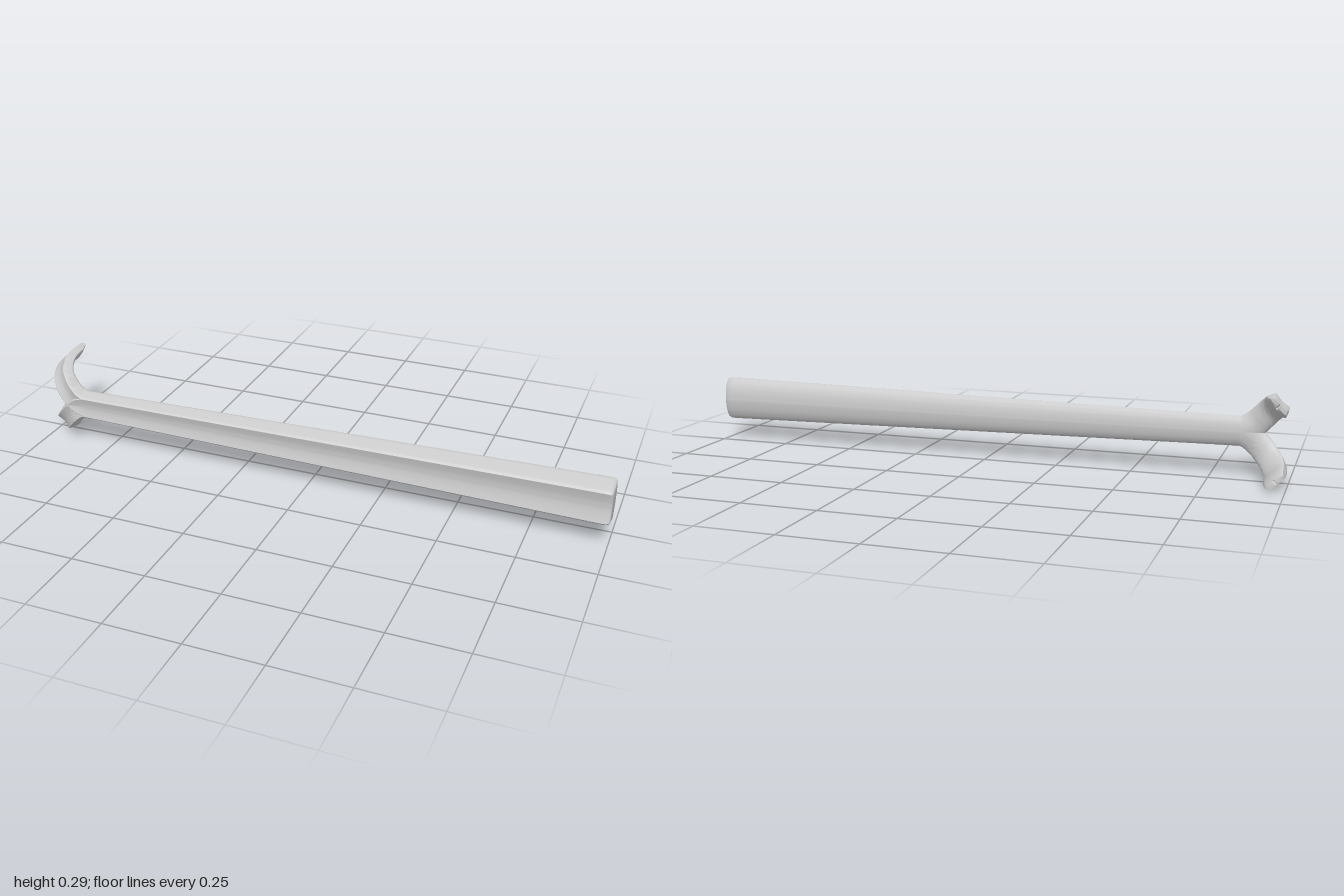
import * as THREE from 'three';
import { toCreasedNormals } from 'three/addons/utils/BufferGeometryUtils.js';

const MID_Y = 0.15;

// Half cross-section as [width, depth]: hollow front face, wide bulging back
const FRONT = [[0, .40], [.12, .405], [.35, .43], [.6, .48], [.7, .5], [.77, .46], [.8, .38]];
const BACK = [[0, -.5], [.12, -.495], [.5, -.45], [.8, -.37], [.94, -.29], [1, -.2], [.98, -.1]];
const mirrorHalf = (half) => [...half.slice(1).reverse().map(([w, d]) => [-w, d]), ...half];
const front = mirrorHalf(FRONT), back = mirrorHalf(BACK);
const N = front.length;
const ring = [...front, ...back.slice().reverse()];

// Sweep the section along stations [x, y, z, spread angle, bend angle, half width, thickness].
// side mirrors the sweep up/down; notch cuts a V into the far end.
function sweep(stations, side = 1, notch = 0) {
  const pos = [], index = [], M = ring.length;
  stations.forEach(([x, y, z, a, b, w, t], j) => {
    const out = new THREE.Vector3(-Math.cos(a), side * Math.sin(a), 0);
    const W = new THREE.Vector3(side * Math.sin(a), Math.cos(a), 0);
    const zAxis = new THREE.Vector3(0, 0, 1);
    const T = zAxis.clone().multiplyScalar(Math.cos(b)).addScaledVector(out, Math.sin(b));
    const dir = out.clone().multiplyScalar(Math.cos(b)).addScaledVector(zAxis, -Math.sin(b));
    const last = j === stations.length - 1;
    ring.forEach(([s, d]) => {
      const p = new THREE.Vector3(x, MID_Y + side * (y - MID_Y), z)
        .addScaledVector(W, s * w).addScaledVector(T, d * t);
      if (last && Math.abs(s) < .01) p.addScaledVector(dir, -notch);
      pos.push(p.x, p.y, p.z);
    });
  });
  for (let j = 0; j < stations.length - 1; j++) {
    for (let i = 0; i < M; i++) {
      const a = j * M + i, b = j * M + (i + 1) % M;
      index.push(a, b, a + M, b, b + M, a + M);
    }
  }
  // End caps as strips between the front and back faces
  const end = (stations.length - 1) * M;
  for (let i = 0; i < N - 1; i++) {
    const f = i, g = i + 1, bf = M - 1 - i, bg = M - 2 - i;
    index.push(f, bf, g, g, bf, bg);
    index.push(end + f, end + g, end + bf, end + g, end + bg, end + bf);
  }
  const geo = new THREE.BufferGeometry();
  geo.setAttribute('position', new THREE.Float32BufferAttribute(pos, 3));
  geo.setIndex(index);
  return toCreasedNormals(geo, 0.75);
}

// Smooth all seven station values along a shared parameter
function smooth(stations, steps) {
  const curve = (k) => new THREE.CatmullRomCurve3(
    stations.map((s) => new THREE.Vector3(s[k], s[k + 1] ?? 0, s[k + 2] ?? 0)), false, 'catmullrom', 0.5);
  const curves = [0, 3, 6].map(curve);
  return Array.from({ length: steps + 1 }, (_, i) =>
    curves.flatMap((c) => c.getPoint(i / steps).toArray()).slice(0, 7));
}

export function createModel() {
  const group = new THREE.Group();
  const material = new THREE.MeshStandardMaterial({ color: 0xcccccc, roughness: 0.6 });
  const add = (name, geo) => {
    const mesh = new THREE.Mesh(geo, material);
    mesh.name = name;
    group.add(mesh);
  };

  // Tapered handle with a softly rounded butt
  add('handle', sweep([
    [1, MID_Y, .065, 0, 0, .066, .086],
    [.997, MID_Y, .065, 0, 0, .071, .094],
    [.99, MID_Y, .065, 0, 0, .074, .099],
    [.975, MID_Y, .065, 0, 0, .075, .1],
    [-.84, MID_Y, .071, 0, 0, .048, .064],
  ]));

  // Claws spread apart and hook backwards to a notched tip
  const q = Math.PI / 4;
  const claw = smooth([
    [-.825, .15, .071, 0, 0, .0475, .063],
    [-.86, .157, .071, .45, 0, .046, .063],
    [-.897, .188, .070, q, .12, .042, .06],
    [-.933, .227, .051, q, .75, .041, .05],
    [-.954, .249, .012, q, 1.25, .041, .041],
    [-.963, .26, -.035, q, 1.5, .041, .036],
    [-.965, .262, -.078, q, Math.PI / 2, .041, .034],
    [-.967, .265, -.102, q, Math.PI / 2, .038, .027],
    [-.971, .269, -.115, q, Math.PI / 2, .034, .014],
  ], 40);
  // Drop the rings the notch would pass through, so its V stays clean
  const rings = claw.filter((s, i) => s[2] > -.08 || i === claw.length - 1 || i === claw.length - 4);
  for (const [name, side] of [['upperClaw', 1], ['lowerClaw', -1]]) {
    add(name, sweep(rings, side, .012));
  }
  // Prong pairs deepen the notch: short tapered lips on either side of each tip
  return group;
}
